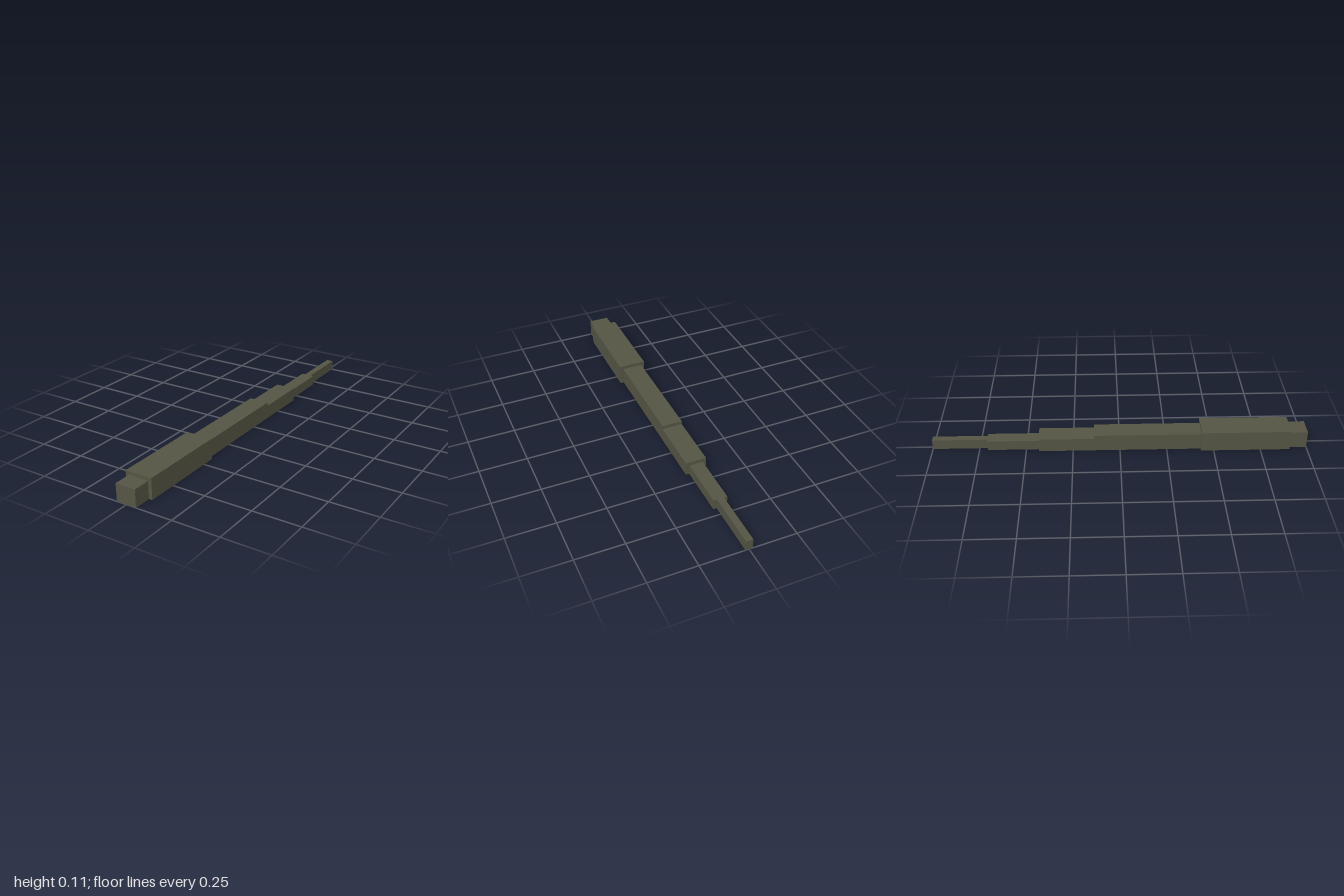
import * as THREE from 'three';

export function createModel() {
  const group = new THREE.Group();
  const olive = new THREE.MeshStandardMaterial({ color: 0x555544 });
  olive.name = 'dark olive';

  // Stepped boxes resting on the ground: name, width, height, back z, front z
  const sections = [
    ['frontBlock', 0.109, 0.093, 0.907, 1],
    ['mainHousing', 0.146, 0.111, 0.432, 0.907],
    ['middleBody', 0.109, 0.093, -0.137, 0.432],
    ['rearBody', 0.109, 0.074, -0.432, -0.137],
    ['rearStep', 0.073, 0.055, -0.706, -0.432],
    ['tailBar', 0.037, 0.055, -1, -0.706],
  ];
  for (const [name, width, height, back, front] of sections) {
    const mesh = new THREE.Mesh(new THREE.BoxGeometry(width, height, front - back), olive);
    mesh.position.set(0, height / 2, (front + back) / 2);
    mesh.name = name;
    group.add(mesh);
  }
  return group;
}
